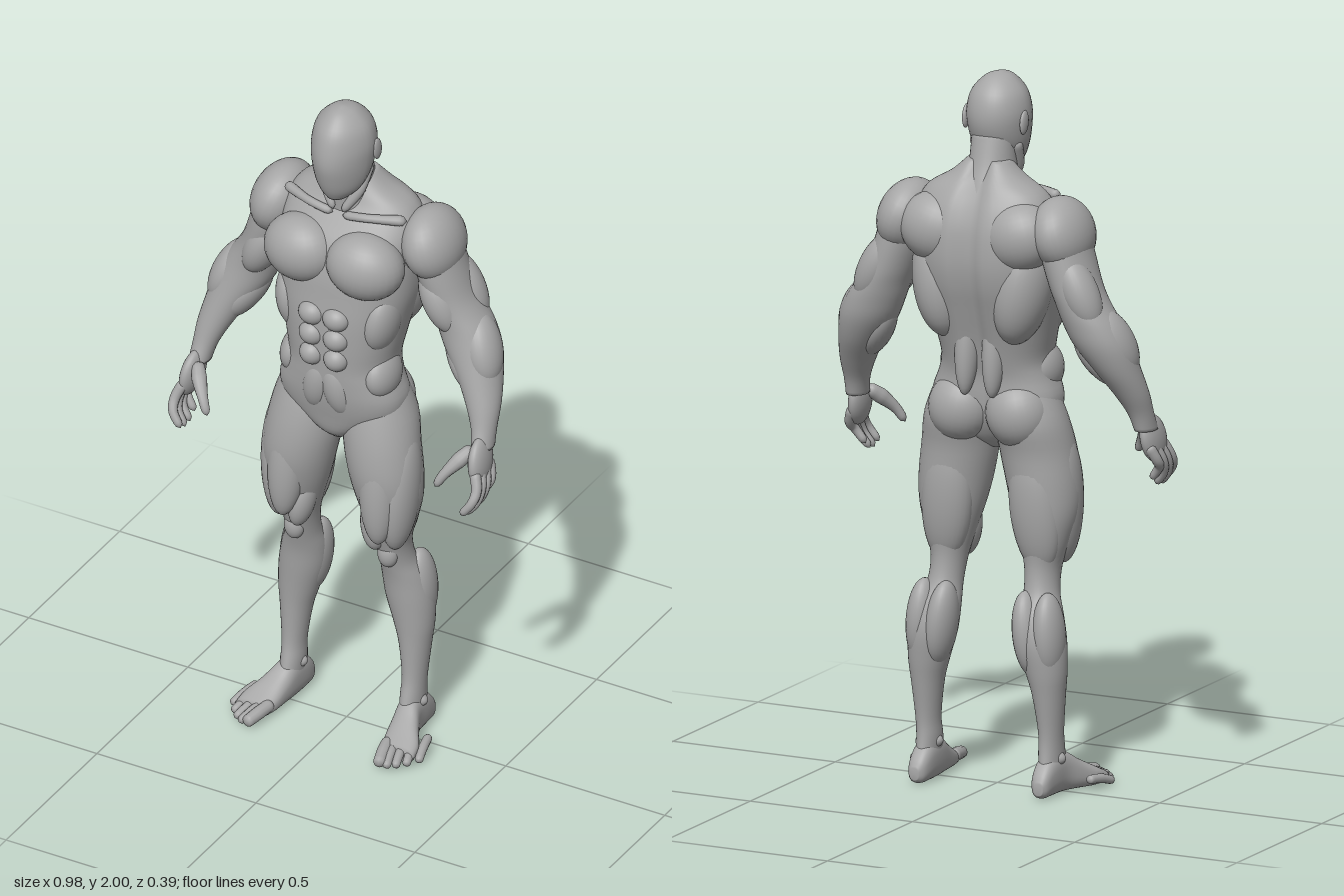
import * as THREE from 'three';
import { mergeVertices } from 'three/addons/utils/BufferGeometryUtils.js';

const grey = new THREE.MeshStandardMaterial({ color: 0xa6a6a6 });
grey.name = 'clay grey';

const spline = (a, b, c, d, t) =>
  0.5 * (2 * b + (c - a) * t + (2 * a - 5 * b + 4 * c - d) * t * t + (3 * b - a - 3 * c + d) * t ** 3);

// Skin over oval sections [t, x0, x1, w0, w1]; t runs down y (w = z), or forward along z (w = y) when alongZ
function loft(rows, { power = 1, rule = null, alongZ = false, sub = 4, seg = 36 } = {}) {
  const pos = [], index = [], n = (rows.length - 1) * sub;
  const row = (i) => rows[Math.min(Math.max(i, 0), rows.length - 1)];
  const put = (x, t, w) => (alongZ ? pos.push(x, w, t) : pos.push(x, t, w));
  const bend = (v) => Math.sign(v) * Math.abs(v) ** power;
  const centres = [];
  for (let i = 0; i <= n; i++) {
    const k = Math.floor(i / sub), f = (i % sub) / sub;
    const [t, x0, x1, w0, w1] = row(k).map((_, c) => spline(row(k - 1)[c], row(k)[c], row(k + 1)[c], row(k + 2)[c], f));
    centres.push([(x0 + x1) / 2, t, (w0 + w1) / 2]);
    for (let j = 0; j < seg; j++) {
      const a = (j / seg) * Math.PI * 2, c = bend(Math.cos(a)), s = bend(Math.sin(a));
      let p = [(x0 + x1) / 2 + ((x1 - x0) / 2) * c, t, (w0 + w1) / 2 + ((w1 - w0) / 2) * s];
      if (rule) p = rule(...p, s);
      put(...p);
    }
  }
  for (let i = 0; i < n; i++) for (let j = 0; j < seg; j++) {
    const a = i * seg + j, b = i * seg + ((j + 1) % seg);
    index.push(a, b, a + seg, b, b + seg, a + seg);
  }
  put(...centres[0]);
  put(...centres[n]);
  const top = (n + 1) * seg;
  for (let j = 0; j < seg; j++) {
    const k = (j + 1) % seg;
    index.push(top, k, j, top + 1, n * seg + j, n * seg + k);
  }
  const g = new THREE.BufferGeometry();
  g.setAttribute('position', new THREE.Float32BufferAttribute(pos, 3));
  g.setIndex(index);
  g.computeVertexNormals();
  return g;
}

// Rounded tube through points, with a radius given along its length
function sweep(points, radii) {
  const seg = 18, sides = 12;
  const curve = new THREE.CatmullRomCurve3(points.map((p) => new THREE.Vector3(...p)));
  const g = new THREE.TubeGeometry(curve, seg, 1, sides);
  const p = g.attributes.position, v = new THREE.Vector3();
  for (let i = 0; i <= seg; i++) {
    const u = i / seg, c = curve.getPointAt(u), f = u * (radii.length - 1), k = Math.min(Math.floor(f), radii.length - 2);
    const end = Math.max(0, (Math.abs(2 * u - 1) - 0.75) / 0.25);
    const r = THREE.MathUtils.lerp(radii[k], radii[k + 1], f - k) * Math.sqrt(Math.max(0, 1 - end * end));
    for (let j = 0; j <= sides; j++) {
      const m = i * (sides + 1) + j;
      v.fromBufferAttribute(p, m).sub(c).multiplyScalar(r).add(c);
      p.setXYZ(m, v.x, v.y, v.z);
    }
  }
  g.deleteAttribute('uv');
  g.deleteAttribute('normal');
  const m = mergeVertices(g, 1e-5);
  m.computeVertexNormals();
  return m;
}

// Muscle belly: a turned ellipsoid
function belly(at, size, turn = [0, 0, 0]) {
  return new THREE.SphereGeometry(1, 28, 18).scale(...size)
    .applyMatrix4(new THREE.Matrix4().makeRotationFromEuler(new THREE.Euler(...turn))).translate(...at);
}

function mirror(geo) {
  const g = geo.clone().scale(-1, 1, 1), ix = g.index;
  for (let i = 0; i < ix.count; i += 3) {
    const a = ix.getX(i);
    ix.setX(i, ix.getX(i + 2));
    ix.setX(i + 2, a);
  }
  return g;
}

export function createModel() {
  const model = new THREE.Group();
  model.name = 'muscularFigure';
  const add = (name, g) => {
    const mesh = new THREE.Mesh(g, grey);
    mesh.name = name;
    model.add(mesh);
  };
  const pair = (name, g) => { add(name + 'Left', g); add(name + 'Right', mirror(g)); };
  const even = (rows) => rows.map(([y, w, z0, z1]) => [y, -w, w, z0, z1]);

  // Head: egg-shaped, narrower at the face
  add('head', loft(even([[2.0, 0.006, 0.012, 0.028], [1.988, 0.04, -0.03, 0.065], [1.95, 0.076, -0.069, 0.104],
    [1.9, 0.09, -0.085, 0.122], [1.85, 0.088, -0.082, 0.127], [1.8, 0.079, -0.06, 0.117],
    [1.76, 0.061, -0.02, 0.103], [1.73, 0.03, 0.03, 0.085]]),
  { rule: (x, y, z, s) => [x * (1 - 0.18 * Math.max(0, s)), y, z] }));
  pair('ear', belly([0.089, 1.87, -0.012], [0.009, 0.034, 0.02], [0.15, 0, 0]));

  // Neck
  add('neck', loft(even([[1.84, 0.062, -0.076, 0.04], [1.76, 0.064, -0.098, 0.048],
    [1.7, 0.075, -0.12, 0.045], [1.64, 0.09, -0.14, 0.04]])));
  pair('neckMuscle', sweep([[0.066, 1.82, -0.015], [0.05, 1.74, 0.025], [0.014, 1.675, 0.05]], [0.016, 0.018, 0.01]));
  pair('collarbone', sweep([[0.015, 1.665, 0.05], [0.09, 1.675, 0.045], [0.19, 1.672, 0]], [0.012, 0.012, 0.016]));

  // Torso with a spine groove
  add('torso', loft(even([[1.77, 0.06, -0.1, 0], [1.73, 0.105, -0.125, 0.015], [1.69, 0.17, -0.15, 0.03],
    [1.64, 0.2, -0.175, 0.065], [1.58, 0.205, -0.192, 0.105], [1.5, 0.205, -0.197, 0.125],
    [1.43, 0.2, -0.187, 0.132], [1.36, 0.185, -0.166, 0.138], [1.28, 0.168, -0.141, 0.138],
    [1.21, 0.156, -0.122, 0.135], [1.16, 0.168, -0.11, 0.132], [1.1, 0.188, -0.108, 0.125],
    [1.04, 0.17, -0.1, 0.112], [0.98, 0.075, -0.07, 0.095], [0.945, 0.025, -0.03, 0.06]]),
  { power: 0.85, seg: 60, rule: (x, y, z, s) => [x, y, s < 0 ? z + 0.028 * Math.exp(-((x / 0.028) ** 2)) : z] }));
  pair('chestMuscle', belly([0.1, 1.54, 0.072], [0.112, 0.098, 0.09], [0, 0.12, -0.1]));
  pair('shoulderBlade', belly([0.125, 1.575, -0.11], [0.11, 0.1, 0.088], [0, 0.1, 0.25]));
  pair('backMuscle', belly([0.125, 1.43, -0.085], [0.08, 0.165, 0.095], [0.12, 0, -0.15]));
  pair('lowerBackMuscle', belly([0.042, 1.26, -0.095], [0.034, 0.15, 0.04], [0.12, 0, 0]));
  pair('ribMuscle', belly([0.135, 1.36, 0.04], [0.05, 0.1, 0.075], [0, 0, -0.15]));
  pair('obliqueMuscle', belly([0.13, 1.18, 0.03], [0.047, 0.07, 0.075], [0, 0, 0.15]));
  [1.375, 1.31, 1.245].forEach((y, i) =>
    pair('abdominal' + (i + 1), belly([0.038, y, 0.122], [0.04 - 0.002 * i, 0.036, 0.036])));
  pair('lowerAbdominal', belly([0.03, 1.14, 0.098], [0.046, 0.09, 0.042], [0.08, 0, 0.2]));
  pair('buttock', belly([0.088, 1.06, -0.045], [0.092, 0.098, 0.085], [0, 0, 0.2]));

  // Arm
  pair('arm', loft([[1.665, 0.18, 0.25, -0.11, -0.02], [1.61, 0.17, 0.3, -0.15, 0.015], [1.53, 0.185, 0.325, -0.16, 0.02],
    [1.45, 0.212, 0.352, -0.162, 0.012], [1.4, 0.232, 0.38, -0.16, 0.005], [1.35, 0.25, 0.415, -0.155, 0.003],
    [1.29, 0.278, 0.443, -0.143, 0.01], [1.22, 0.328, 0.458, -0.112, 0.022], [1.15, 0.372, 0.47, -0.068, 0.036],
    [1.09, 0.402, 0.472, -0.032, 0.05], [1.04, 0.415, 0.474, -0.015, 0.07]]));
  pair('shoulderMuscle', belly([0.238, 1.587, -0.065], [0.08, 0.105, 0.115], [0, 0, 0.3]));
  pair('biceps', belly([0.278, 1.43, -0.035], [0.052, 0.105, 0.06], [0, 0, 0.45]));
  pair('triceps', belly([0.312, 1.44, -0.112], [0.052, 0.11, 0.054], [0, 0, 0.45]));
  pair('outerForearm', belly([0.395, 1.295, -0.06], [0.052, 0.105, 0.062], [-0.3, 0, 0.35]));
  pair('innerForearm', belly([0.34, 1.25, -0.05], [0.042, 0.1, 0.055], [-0.4, 0, 0.55]));

  // Hand
  pair('palm', belly([0.452, 1.01, 0.055], [0.026, 0.07, 0.056], [-0.35, 0, 0.12]));
  for (let i = 0; i < 4; i++) {
    const z = 0.108 - 0.026 * i, drop = [0.01, 0, 0.003, 0.022][i];
    pair('finger' + (i + 1), sweep([[0.455, 1.0, z - 0.015], [0.474, 0.95, z + 0.008],
      [0.47, 0.91 + drop, z + 0.026], [0.44, 0.868 + drop, z + 0.036]], [0.016, 0.015, 0.013, 0.011]));
  }
  pair('thumb', sweep([[0.435, 1.05, 0.06], [0.405, 1.015, 0.1], [0.378, 0.98, 0.128], [0.358, 0.943, 0.142]],
    [0.018, 0.022, 0.015, 0.011]));

  // Leg
  pair('leg', loft([[1.13, 0.04, 0.175, -0.08, 0.07], [1.04, 0.006, 0.21, -0.105, 0.1], [0.95, 0.012, 0.228, -0.09, 0.118],
    [0.86, 0.03, 0.239, -0.085, 0.122], [0.78, 0.05, 0.236, -0.08, 0.108], [0.7, 0.075, 0.215, -0.072, 0.082],
    [0.63, 0.094, 0.194, -0.066, 0.058], [0.56, 0.1, 0.197, -0.078, 0.035], [0.5, 0.095, 0.22, -0.11, 0.02],
    [0.43, 0.099, 0.236, -0.125, 0.012], [0.35, 0.122, 0.238, -0.117, 0.004], [0.28, 0.142, 0.231, -0.105, 0],
    [0.18, 0.156, 0.222, -0.09, 0], [0.12, 0.156, 0.22, -0.09, 0.012], [0.05, 0.16, 0.22, -0.1, 0.03]]));
  pair('frontThigh', belly([0.142, 0.86, 0.068], [0.058, 0.2, 0.056], [-0.12, 0, 0.04]));
  pair('outerThigh', belly([0.188, 0.82, 0.03], [0.052, 0.19, 0.07], [-0.1, 0, -0.04]));
  pair('innerThigh', belly([0.112, 0.7, 0.045], [0.036, 0.085, 0.045], [-0.15, 0, 0.15]));
  pair('hamstring', belly([0.135, 0.8, -0.035], [0.075, 0.19, 0.055], [-0.05, 0, 0.08]));
  pair('kneecap', belly([0.147, 0.595, 0.03], [0.03, 0.042, 0.026]));
  pair('innerCalf', belly([0.135, 0.45, -0.07], [0.043, 0.12, 0.06], [0, 0, 0.12]));
  pair('outerCalf', belly([0.195, 0.45, -0.068], [0.043, 0.12, 0.058], [0, 0, 0.05]));
  pair('ankleBone', belly([0.189, 0.105, -0.04], [0.042, 0.024, 0.024], [0, 0, -0.15]));

  // Foot
  pair('foot', loft([[-0.127, 0.178, 0.205, 0.012, 0.045], [-0.11, 0.163, 0.216, 0.001, 0.075], [-0.07, 0.156, 0.222, 0, 0.11],
    [-0.01, 0.157, 0.228, 0, 0.118], [0.04, 0.162, 0.25, 0, 0.088], [0.085, 0.168, 0.275, 0, 0.062],
    [0.125, 0.18, 0.28, 0.003, 0.042]], { alongZ: true, power: 0.8 }));
  for (let i = 0; i < 5; i++) {
    const r = i ? 0.0125 : 0.018, x = 0.19 + 0.021 * i, z = 0.19 - 0.0045 * i * i;
    pair('toe' + (i + 1), sweep([[x - 0.005, 0.034, z - 0.1], [x + 0.007, 0.028, z - 0.045], [x + 0.02, r + 0.001, z + 0.004]],
      [r, r * 1.05, r * 0.95]));
  }
  return model;
}
